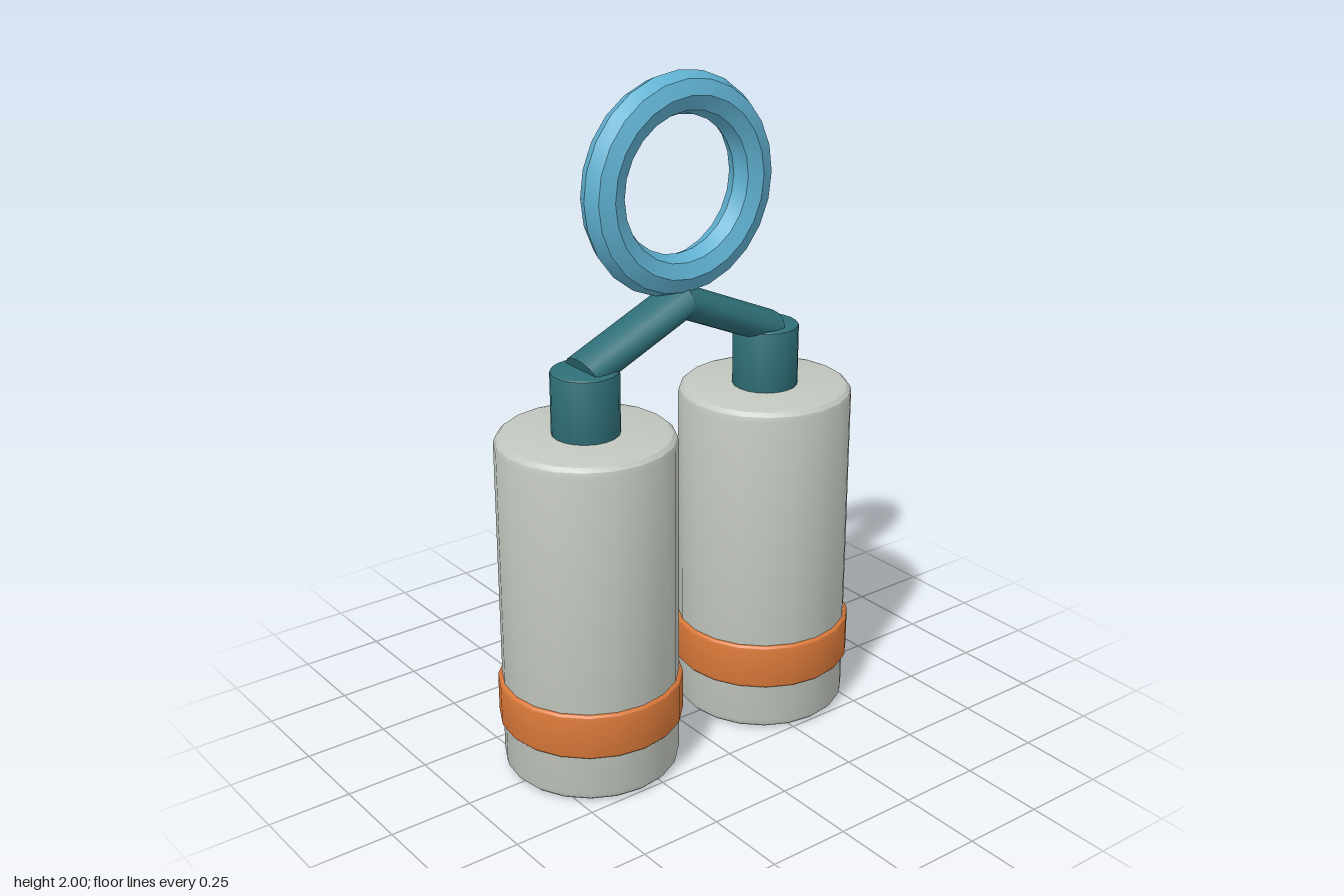
import * as THREE from 'three';
import { toCreasedNormals } from 'three/addons/utils/BufferGeometryUtils.js';

const material = (name, color) => {
  const m = new THREE.MeshStandardMaterial({ color });
  m.name = name;
  return m;
};

// Upright drum from y0 to y1 with rounded rims
function drum(radius, y0, y1, bevel) {
  const points = [new THREE.Vector2(0, y0)];
  const corner = (cy, start) => {
    for (let i = 0; i <= 3; i++) {
      const a = start + (i * Math.PI) / 6;
      points.push(new THREE.Vector2(radius - bevel + bevel * Math.cos(a), cy + bevel * Math.sin(a)));
    }
  };
  corner(y0 + bevel, -Math.PI / 2);
  corner(y1 - bevel, 0);
  points.push(new THREE.Vector2(0, y1));
  return toCreasedNormals(new THREE.LatheGeometry(points, 20), 0.5);
}

// Oval bar sloping down from the centre, cut vertically where the pair meets
function armGeometry(side) {
  const inner = new THREE.Vector3(0, 1.354, 0);
  const outer = new THREE.Vector3(side * 0.33, 1.209, 0);
  const dir = outer.clone().sub(inner);
  const length = dir.length();
  dir.normalize();
  const geo = new THREE.CylinderGeometry(1, 1, length, 16);
  geo.scale(0.049, 1, 0.074);
  geo.translate(0, length / 2, 0);
  geo.rotateZ(Math.atan2(dir.y, dir.x) - Math.PI / 2);
  geo.translate(inner.x, inner.y, inner.z);
  const p = geo.attributes.position;
  const v = new THREE.Vector3();
  for (let i = 0; i < p.count; i++) {
    v.fromBufferAttribute(p, i);
    if (v.clone().sub(inner).dot(dir) < length / 2) {
      v.addScaledVector(dir, -v.x / dir.x);
      p.setXYZ(i, v.x, v.y, v.z);
    }
  }
  return toCreasedNormals(geo, 0.75);
}

export function createModel() {
  const grey = material('light grey', 0xc2c7bf);
  const orange = material('orange', 0xd97839);
  const teal = material('teal', 0x2f6f78);
  const blue = material('sky blue', 0x5fb0d0);

  const model = new THREE.Group();
  model.name = 'hangingCanisters';
  const add = (parent, name, geo, mat) => {
    const mesh = new THREE.Mesh(geo, mat);
    mesh.name = name;
    parent.add(mesh);
    return mesh;
  };

  // Twin canisters, each with a band and neck
  for (const [label, side] of [['left', 1], ['right', -1]]) {
    const canister = new THREE.Group();
    canister.name = label + 'Canister';
    canister.position.x = side * 0.323;
    add(canister, 'body', drum(0.258, 0, 1.035, 0.03), grey);
    add(canister, 'band', drum(0.27, 0.147, 0.288, 0.014), orange);
    add(canister, 'neck', drum(0.097, 1.01, 1.22, 0.008), teal);
    model.add(canister);
    add(model, label + 'Arm', armGeometry(side), teal);
  }

  // Hanging ring
  const ring = toCreasedNormals(new THREE.TorusGeometry(0.255, 0.06, 8, 24), 0.5);
  add(model, 'ring', ring, blue).position.y = 1.685;

  return model;
}
